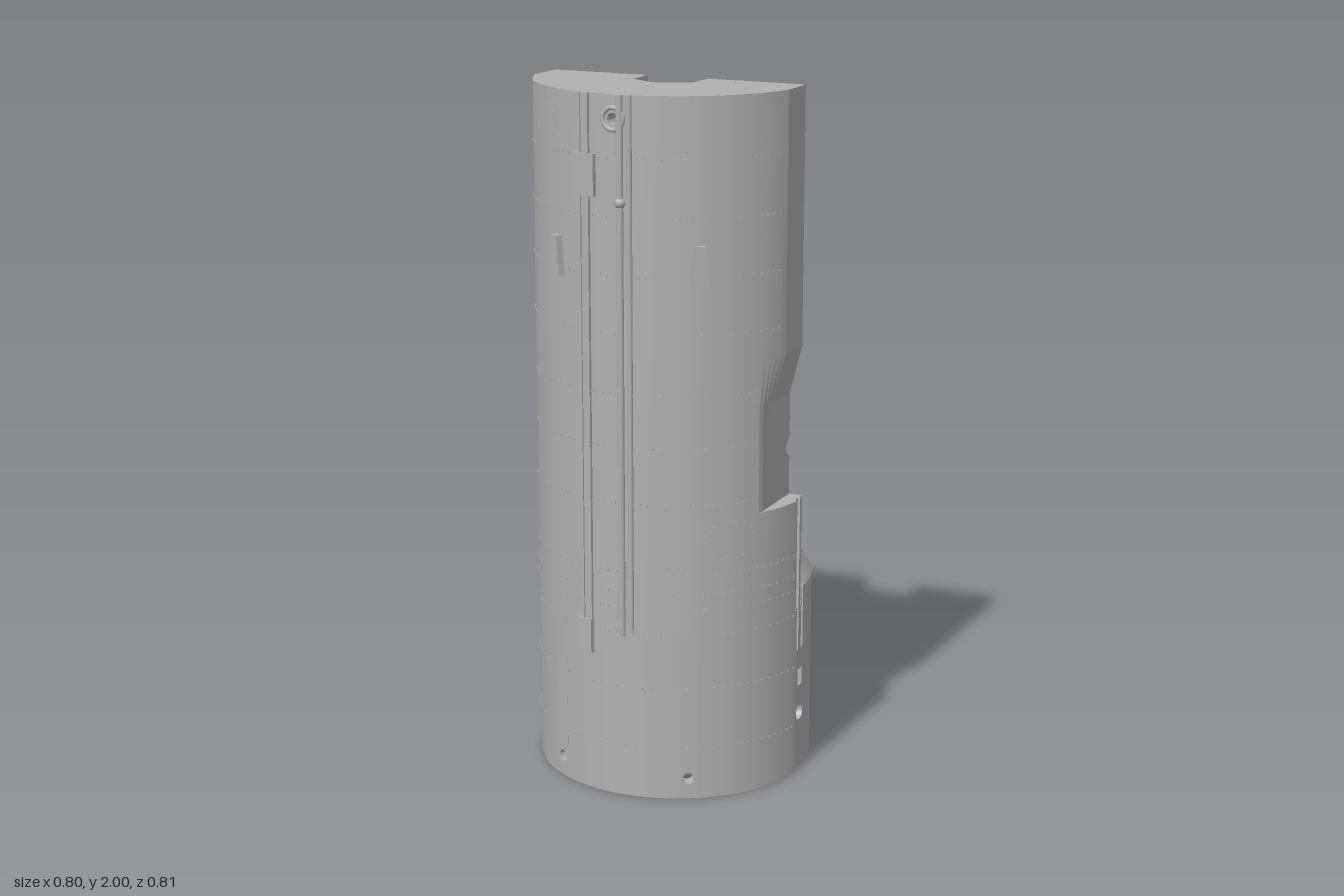
import * as THREE from 'three';
import { mergeGeometries, toCreasedNormals } from 'three/addons/utils/BufferGeometryUtils.js';

const R = 0.405, ZC = -0.015, HALF = Math.PI / 2;

export function createModel() {
  const root = new THREE.Group();
  const grey = new THREE.MeshStandardMaterial({ color: 0xb0b0b0, side: THREE.DoubleSide });
  grey.name = 'plain grey';

  const add = (name, geo, crease = 0.5) => {
    const mesh = new THREE.Mesh(crease ? toCreasedNormals(geo, crease) : geo, grey);
    mesh.name = name;
    root.add(mesh);
    return mesh;
  };
  // Turns a geometry built around x = 0 to face outward at angle phi of the body
  const around = (geo, phi) => geo.rotateY(phi).translate(0, 0, ZC);
  const shapeOf = pts => new THREE.Shape(pts.map(p => new THREE.Vector2(p[0], p[1])));
  const lathe = (pts, from, to, seg) => new THREE.LatheGeometry(
    pts.map(p => new THREE.Vector2(p[0], p[1])), seg, from, to - from).translate(0, 0, ZC);
  const circleHole = (x, y, r) => new THREE.Path().absarc(x, y, r, 0, Math.PI * 2, true);

  // Half-round section with its sides shaved flat at x = w and its back edges cut by n
  const section = (w, n, stepped) => {
    const pts = [[-0.31, ZC]];
    for (let i = 0; i <= 64; i++) {
      const a = -HALF + (Math.PI * i) / 64;
      const z = ZC + R * Math.cos(a);
      const lim = stepped && z < 0.035 ? 0.39 : w;
      pts.push([THREE.MathUtils.clamp(R * Math.sin(a), -lim, lim), Math.max(z, ZC + n)]);
    }
    pts.push([0.31, ZC]);
    return pts;
  };
  const loft = (levels, stepped = false) => {
    const pos = [], idx = [];
    const rows = levels.map(([y, w, n = 0]) => section(w, n, stepped).map(p => [p[0], y, p[1]]));
    const count = rows[0].length;
    rows.forEach(row => row.forEach(p => pos.push(...p)));
    for (let j = 0; j < rows.length - 1; j++) {
      for (let i = 0; i < count; i++) {
        const a = j * count + i, b = j * count + ((i + 1) % count);
        idx.push(a, b, b + count, a, b + count, a + count);
      }
    }
    const last = (rows.length - 1) * count, c = pos.length / 3;
    pos.push(0, levels[0][0], 0.1, 0, levels[levels.length - 1][0], 0.1);
    for (let i = 0; i < count; i++) {
      const k = (i + 1) % count;
      idx.push(c, k, i, c + 1, last + i, last + k);
    }
    const geo = new THREE.BufferGeometry();
    geo.setAttribute('position', new THREE.Float32BufferAttribute(pos, 3));
    geo.setIndex(idx);
    return geo;
  };

  // Upper half body: waist, taper and the small round cuts on the back edges
  const cuts = [-0.025, -0.018, 0, 0.018, 0.025].map(d =>
    [0.97 + d, 0.352, Math.sqrt(Math.max(0, 0.025 ** 2 - d * d))]);
  add('upperBody', loft([[0.83, 0.352], ...cuts, [1.13, 0.352], [1.27, 0.387], [1.865, 0.387]]), 0.2);
  add('middleBody', loft([[0.5, 0.404], [0.83, 0.404]], true), 0.2);

  // Top block in two halves around a five-sided notch
  for (const s of [1, -1]) {
    const pts = [[0.02, 0.118], [0.093, 0.075], [0.093, ZC], [0.387, ZC]];
    const a0 = Math.asin(0.387 / R), a1 = Math.asin(0.02 / R);
    for (let i = 0; i <= 32; i++) {
      const a = a0 + ((a1 - a0) * i) / 32;
      pts.push([R * Math.sin(a), ZC + R * Math.cos(a)]);
    }
    const geo = new THREE.ExtrudeGeometry(shapeOf(pts.map(p => [s * p[0], -p[1]])),
      { depth: 0.135, bevelEnabled: false });
    add('topBlock', geo.rotateX(-HALF).translate(0, 1.865, 0), 0.2);
  }
  // Centre strip of the top block with a bore through to the notch
  const strip = shapeOf([[-0.02, 1.865], [0.02, 1.865], [0.02, 2], [-0.02, 2]]);
  strip.holes.push(circleHole(0, 1.935, 0.016));
  add('boredStrip', new THREE.ExtrudeGeometry(strip, { depth: 0.2715, bevelEnabled: false })
    .translate(0, 0, 0.118));
  add('boreRing', new THREE.TorusGeometry(0.03, 0.007, 10, 32).translate(0, 1.935, 0.388), 0);

  // Rounded nose behind the flat face
  add('nose', lathe([[0.395, 0.5], [0.395, 0.555], [0.265, 0.785], [0.14, 1.005], [0.118, 1.036],
    [0.09, 1.063], [0.055, 1.083], [0.025, 1.091], [0, 1.092]], HALF, 3 * HALF, 64), 0.45);

  // Hollow lower skirt, with flat panels where it is pierced
  const wall = (r, from, to) => add('skirtWall', lathe([[0.365, 0], [r, 0], [r, 0.5], [0.35, 0.5],
    [0.35, 0.28], [0.365, 0.28], [0.365, 0]], from, to, Math.ceil((to - from) * 20)));
  wall(R, -1.447, -0.579);
  wall(R, -0.455, 0.455);
  wall(R, 0.579, 1.447);
  wall(0.395, HALF + 0.127, 3 * HALF - 0.127);
  const panel = (name, phi, half, r, holes) => {
    const shape = shapeOf([[-half, 0], [half, 0], [half, 0.5], [-half, 0.5]]);
    shape.holes.push(...holes);
    const geo = new THREE.ExtrudeGeometry(shape, { depth: r - 0.363, bevelEnabled: false });
    add(name, around(geo.translate(0, 0, 0.363), phi));
  };
  for (const s of [1, -1]) {
    panel('frontPanel', s * 0.517, 0.0255, 0.4045, [circleHole(0, 0.06, 0.017)]);
    const slot = new THREE.Path([[-0.016, 0.255], [-0.016, 0.305], [0.016, 0.305], [0.016, 0.255]]
      .map(p => new THREE.Vector2(...p)));
    panel('sidePanel', s * HALF, 0.05, 0.393, [circleHole(0, 0.17, 0.024), slot]);
    // Rails up the side seams
    for (const [z, y0, y1] of [[-0.026, 0.37, 0.56], [0.006, 0.37, 0.83]]) {
      add('sideRail', new THREE.BoxGeometry(0.02, y1 - y0, 0.012)
        .translate(s * 0.388, (y0 + y1) / 2, z), 0);
    }
  }
  add('ceiling', new THREE.CircleGeometry(0.37, 64).rotateX(HALF).translate(0, 0.499, ZC), 0);
  const ribs = [];
  for (let i = 0; i < 72; i++) {
    const phi = (i / 72) * Math.PI * 2;
    const clear = [0.517, -0.517, HALF, -HALF].every(h => Math.cos(phi - h) < 0.99);
    if (clear) ribs.push(around(new THREE.BoxGeometry(0.008, 0.2, 0.014).translate(0, 0.18, 0.36), phi));
  }
  add('innerRibs', mergeGeometries(ribs), 0);

  // Conduits and boxes on the front
  const box = (name, x, y, w, h, out) => add(name, around(
    new THREE.BoxGeometry(w, h, out + 0.02).translate(0, y, R + (out - 0.02) / 2), Math.asin(x / R)), 0);
  box('cableTray', -0.09, 1.21, 0.03, 1.58, 0.004);
  for (const x of [-0.103, -0.077]) box('trayRail', x, 1.21, 0.007, 1.58, 0.008);
  box('trayBox', -0.09, 1.78, 0.075, 0.115, 0.011);
  box('trayEnd', -0.097, 0.465, 0.05, 0.1, 0.012);
  for (const [x, y0, r] of [[0.02, 0.48, 0.01], [0.047, 0.5, 0.008]]) {
    add('conduit', around(new THREE.CylinderGeometry(r, r, 2 - y0, 12)
      .translate(0, 1 + y0 / 2, R), Math.asin(x / R)), 0);
  }
  add('conduitJoint', new THREE.SphereGeometry(0.016, 16, 12).translate(0.02, 1.71, 0.389), 0);

  // Tapered fins
  for (const x of [-0.19, 0.225]) {
    const fin = shapeOf([[-0.025, 1.49], [0.025, 1.49], [0.012, 1.6], [-0.012, 1.6]]);
    add('fin', around(new THREE.ExtrudeGeometry(fin, { depth: 0.04, bevelEnabled: false })
      .translate(0, 0, 0.385), Math.asin(x / R)));
  }

  // Rivet rows and rivet circles
  const rivets = [];
  const rivet = (phi, y) => rivets.push(around(
    new THREE.BoxGeometry(0.006, 0.004, 0.006).translate(0, y, R - 0.001), phi));
  for (const y of [0.15, 0.33, 0.49, 0.565, 0.61, 0.67, 0.87, 1.03, 1.18, 1.35, 1.51, 1.67, 1.83]) {
    const span = y < 0.83 ? 1.4 : y < 1.25 ? 1.0 : 1.2;
    for (let i = 0; i <= 44; i++) rivet(-span + (2 * span * i) / 44, y);
  }
  for (const [x, y] of [[-0.245, 1.92], [0.29, 0.76]]) {
    for (let i = 0; i < 20; i++) {
      const t = (i / 20) * Math.PI * 2;
      rivet(Math.asin((x + 0.052 * Math.cos(t)) / R), y + 0.055 * Math.sin(t));
    }
  }
  add('rivets', mergeGeometries(rivets), 0);

  return root;
}
